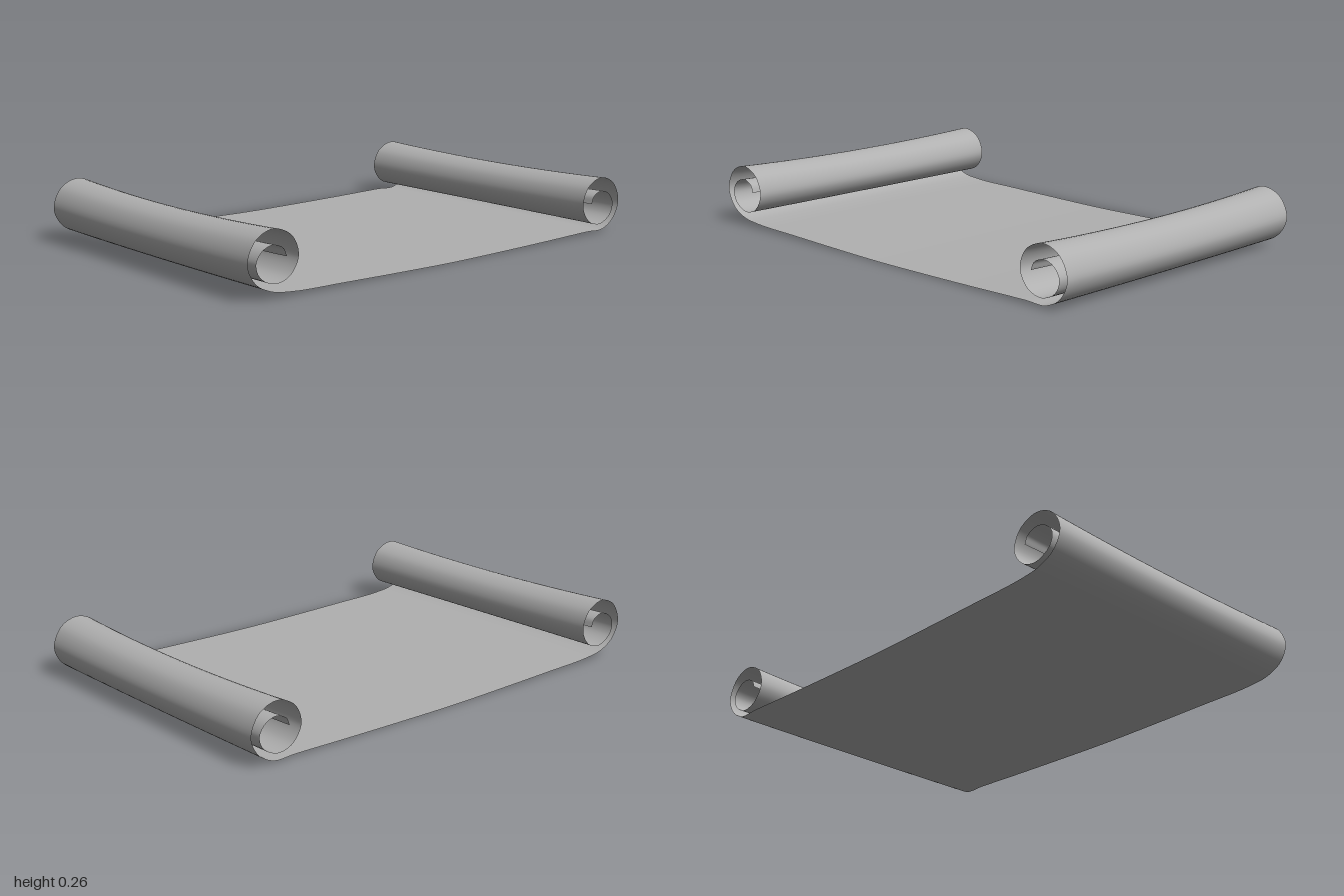
import * as THREE from 'three';

const HALF_DEPTH = 0.665;

// Cross-section of a roll, from its inner end out to where it meets the sheet
const roll = [
  [0.825, 0.15], [0.84, 0.182], [0.885, 0.2], [0.935, 0.183], [0.962, 0.14], [0.945, 0.09],
  [0.88, 0.057], [0.81, 0.078], [0.771, 0.145], [0.8, 0.222], [0.882, 0.258],
  [0.962, 0.227], [1.0, 0.145], [0.968, 0.073], [0.9, 0.033],
];

// Each roll narrows towards the middle of its length
function pinch(p, z) {
  const side = Math.sign(p.x);
  const out = Math.abs(p.x);
  const s = 0.068 * (1 - (z / HALF_DEPTH) ** 2) * THREE.MathUtils.smoothstep(out, 0.6, 0.77);
  return [side * (out + (0.985 - out) * s), p.y - (p.y - 0.01) * s, z];
}

// Sweep the cross-section along z into one smooth open sheet
function sweep(points, nz) {
  const pos = [], idx = [], n = points.length;
  for (let j = 0; j <= nz; j++) {
    const z = -HALF_DEPTH + (2 * HALF_DEPTH * j) / nz;
    for (const p of points) pos.push(...pinch(p, z));
  }
  for (let j = 0; j < nz; j++) {
    for (let i = 0; i < n - 1; i++) {
      const a = j * n + i, b = a + n;
      idx.push(a, b, a + 1, b, b + 1, a + 1);
    }
  }
  const geo = new THREE.BufferGeometry();
  geo.setAttribute('position', new THREE.Float32BufferAttribute(pos, 3));
  geo.setIndex(idx);
  geo.computeVertexNormals();
  return geo;
}

export function createModel() {
  const group = new THREE.Group();
  group.name = 'scroll';
  const paper = new THREE.MeshStandardMaterial({ color: 0xb0b0b0, side: THREE.DoubleSide });
  paper.name = 'grey paper';

  // Right roll, slightly sagging sheet, then the lower left roll
  const section = [
    ...roll.map(([x, y]) => [-x, y]),
    [-0.8, 0.017], [-0.55, 0.01], [-0.28, 0.004], [0, 0], [0.28, 0.002], [0.55, 0.006], [0.8, 0.011],
    ...roll.map(([x, y]) => [x, y - 0.022]).reverse(),
  ].map(([x, y]) => new THREE.Vector3(x, y, 0));
  const curve = new THREE.CatmullRomCurve3(section, false, 'centripetal');

  const sheet = new THREE.Mesh(sweep(curve.getPoints(216), 24), paper);
  sheet.name = 'rolledSheet';
  group.add(sheet);
  return group;
}
